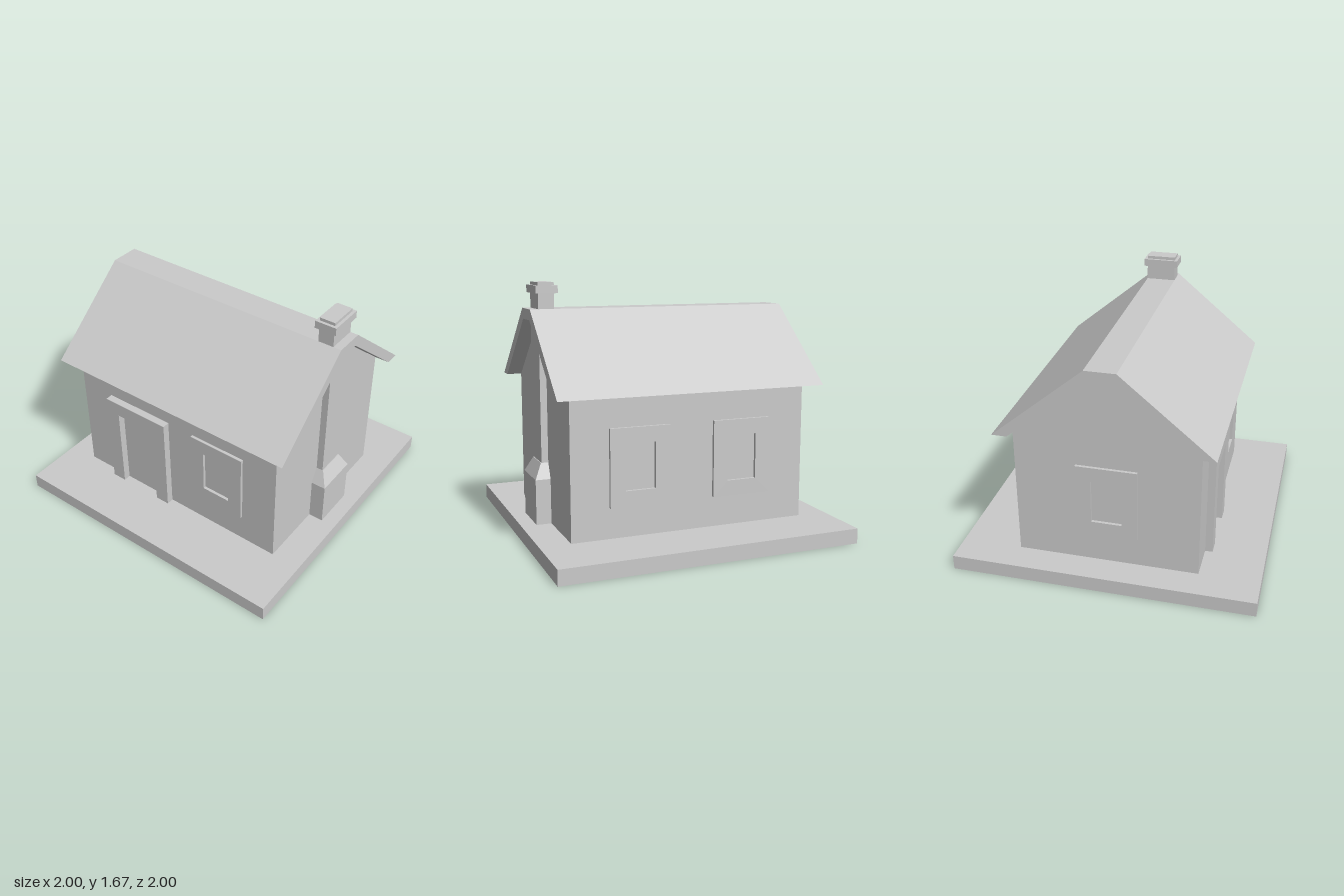
import * as THREE from 'three';

const material = new THREE.MeshStandardMaterial({ color: 0xcccccc, flatShading: true });

function add(parent, name, geometry) {
  const mesh = new THREE.Mesh(geometry, material);
  mesh.name = name;
  parent.add(mesh);
  return mesh;
}

// Box given by its minimum and maximum corners
function box(parent, name, [x0, y0, z0], [x1, y1, z1]) {
  const geometry = new THREE.BoxGeometry(x1 - x0, y1 - y0, z1 - z0);
  geometry.translate((x0 + x1) / 2, (y0 + y1) / 2, (z0 + z1) / 2);
  return add(parent, name, geometry);
}

// Outline in (z, y) extruded along x, centred on x = 0
function gableExtrude(points, length) {
  const shape = new THREE.Shape(points.map(([z, y]) => new THREE.Vector2(-z, y)));
  const geometry = new THREE.ExtrudeGeometry(shape, { depth: length, bevelEnabled: false });
  return geometry.translate(0, 0, -length / 2).rotateY(Math.PI / 2);
}

function rectangle(Type, x0, y0, x1, y1) {
  return new Type([[x0, y0], [x1, y0], [x1, y1], [x0, y1]].map(([x, y]) => new THREE.Vector2(x, y)));
}

// Flat surround with an opening, standing proud of the wall
function windowFrame(parent, name, x, z, angle) {
  const shape = rectangle(THREE.Shape, -0.2, 0.3, 0.2, 0.8);
  shape.holes.push(rectangle(THREE.Path, -0.1, 0.4, 0.1, 0.7));
  const mesh = add(parent, name, new THREE.ExtrudeGeometry(shape, { depth: 0.02, bevelEnabled: false }));
  mesh.position.set(x, 0, z);
  mesh.rotation.y = angle;
}

export function createModel() {
  const house = new THREE.Group();
  house.name = 'house';

  box(house, 'base', [-1, 0, -1], [1, 0.1, 1]);

  // Walls with flat-topped gables
  add(house, 'walls', gableExtrude(
    [[0.6, 0.1], [0.6, 1], [0.08, 1.43], [-0.08, 1.43], [-0.6, 1], [-0.6, 0.1]], 1.6));

  // Roof shell with overhanging eaves and a flat ridge
  add(house, 'roof', gableExtrude(
    [[0.7, 1], [0.1, 1.5], [-0.1, 1.5], [-0.7, 1],
      [-0.6, 1], [-0.08, 1.43], [0.08, 1.43], [0.6, 1]], 1.8));

  // Door surround
  const door = new THREE.Shape(
    [[-0.55, 0.1], [-0.45, 0.1], [-0.45, 0.7], [-0.15, 0.7],
      [-0.15, 0.1], [-0.05, 0.1], [-0.05, 0.8], [-0.55, 0.8]].map(([x, y]) => new THREE.Vector2(x, y)));
  add(house, 'doorFrame', new THREE.ExtrudeGeometry(door, { depth: 0.05, bevelEnabled: false }))
    .position.z = 0.6;

  // Windows
  windowFrame(house, 'frontWindow', 0.35, 0.6, 0);
  windowFrame(house, 'backWindowLeft', 0.35, -0.6, Math.PI);
  windowFrame(house, 'backWindowRight', -0.35, -0.6, Math.PI);
  windowFrame(house, 'sideWindow', -0.8, 0, -Math.PI / 2);

  // Chimney against the side wall
  const chimney = new THREE.Group();
  chimney.name = 'chimney';
  house.add(chimney);
  box(chimney, 'hearth', [0.74, 0.1, -0.15], [0.9, 0.4, 0.15]);
  const shoulder = box(chimney, 'shoulder', [0.74, 0.4, -0.15], [0.9, 0.5, 0.15]);
  const p = shoulder.geometry.attributes.position;
  for (let i = 0; i < p.count; i++) {
    if (p.getY(i) < 0.45) continue;
    p.setX(i, Math.min(p.getX(i), 0.85));
    p.setZ(i, Math.sign(p.getZ(i)) * 0.1);
  }
  shoulder.geometry.computeVertexNormals();
  box(chimney, 'stack', [0.74, 0.5, -0.1], [0.845, 1.6, 0.1]);
  box(chimney, 'cap', [0.72, 1.6, -0.12], [0.865, 1.65, 0.12]);
  box(chimney, 'capTop', [0.74, 1.65, -0.1], [0.845, 1.67, 0.1]);

  return house;
}
